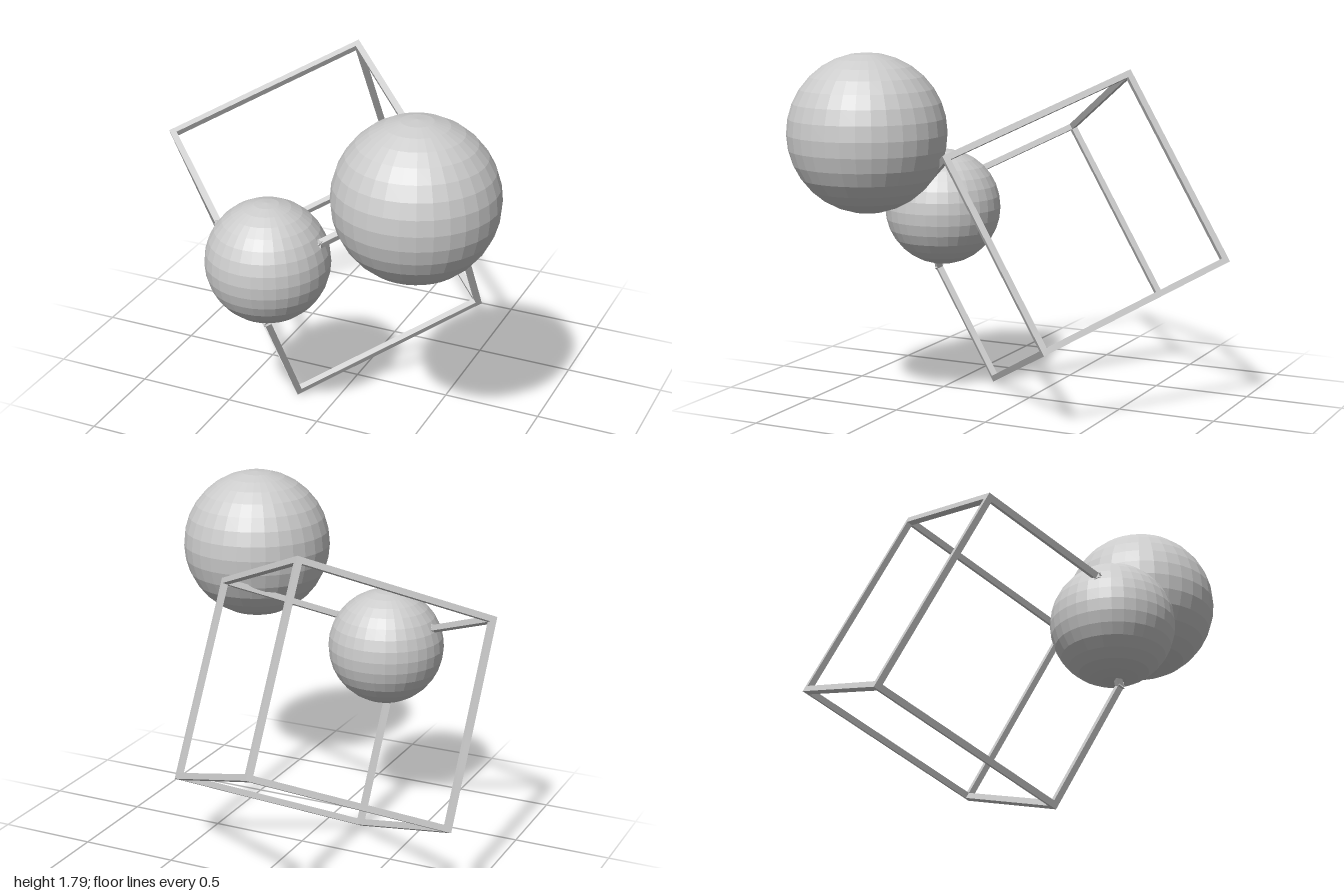
import * as THREE from 'three';

export function createModel() {
  const model = new THREE.Group();
  const mat = new THREE.MeshStandardMaterial({ color: 0xcccccc, flatShading: true });
  const V = (x, y, z) => new THREE.Vector3(x, y, z);
  const W = 0.031;            // bar thickness
  const C = 0.52;             // half edge of the cube, to the bar centres
  const CUT = 0.38;           // how far the front corner is cut back
  const up = V(0, 1, 0);

  // Tilted cube frame, standing on its front lower corner
  const frame = new THREE.Group();
  frame.name = 'cubeFrame';
  frame.position.set(-0.2, 0.845, -0.075);
  frame.rotation.set(THREE.MathUtils.degToRad(30.2), Math.PI / 4, 0);
  model.add(frame);

  // Square bar between two points, overrunning each end to fill the joint
  function bar(name, a, b) {
    const dir = b.clone().sub(a);
    const mesh = new THREE.Mesh(new THREE.BoxGeometry(W, dir.length() + W, W), mat);
    mesh.position.copy(a).add(b).multiplyScalar(0.5);
    mesh.quaternion.setFromUnitVectors(up, dir.normalize());
    mesh.name = name;
    frame.add(mesh);
  }

  // Twelve edges; those meeting the front corner stop short of it
  const corner = V(-C, C, C);
  const cuts = [];
  for (const axis of [0, 1, 2]) {
    for (const s of [-1, 1]) for (const t of [-1, 1]) {
      const a = V(0, 0, 0).setComponent((axis + 1) % 3, s * C).setComponent((axis + 2) % 3, t * C);
      const b = a.clone();
      a.setComponent(axis, -C);
      b.setComponent(axis, C);
      for (const [end, inward] of [[a, 1], [b, -1]]) {
        if (end.distanceTo(corner) < 1e-6) {
          end.setComponent(axis, end.getComponent(axis) + inward * CUT);
          cuts.push(end);
        }
      }
      bar('frameEdge', a, b);
    }
  }

  // Triangle across the cut corner
  cuts.forEach((p, i) => bar('cornerTriangleEdge', p, cuts[(i + 1) % 3]));

  // Faceted balls
  function ball(name, r, x, y, z) {
    const mesh = new THREE.Mesh(new THREE.SphereGeometry(r, 32, 16), mat);
    mesh.position.set(x, y, z);
    mesh.name = name;
    model.add(mesh);
  }
  ball('smallBall', 0.305, -0.2, 0.925, 0.605);
  ball('largeBall', 0.392, 0.563, 1.397, 0.605);

  return model;
}
